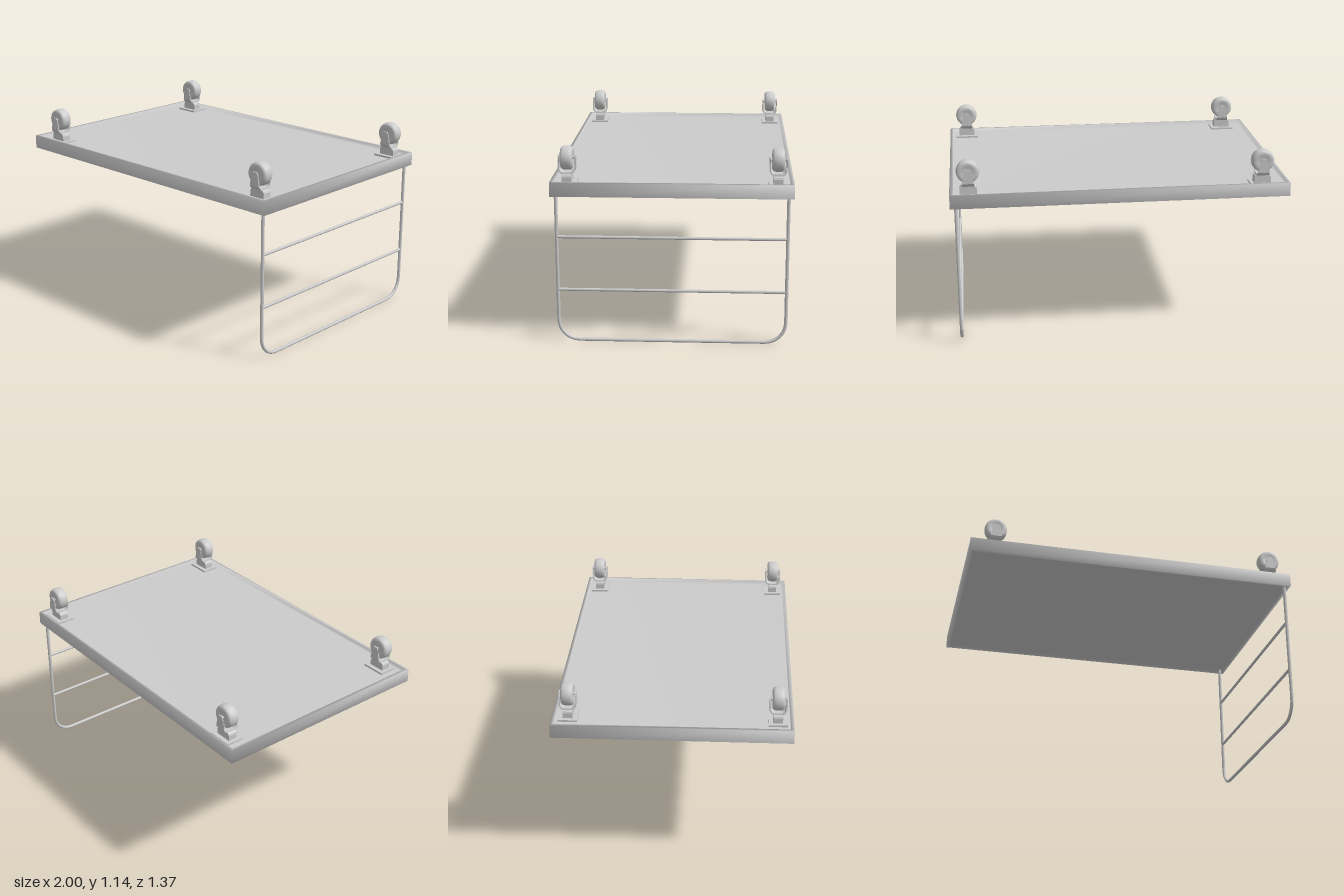
import * as THREE from 'three';

const material = new THREE.MeshStandardMaterial({ color: 0xcccccc, roughness: 0.7 });

function add(parent, name, geometry, x = 0, y = 0, z = 0) {
  const mesh = new THREE.Mesh(geometry, material);
  mesh.name = name;
  mesh.position.set(x, y, z);
  parent.add(mesh);
  return mesh;
}

// Rectangular tray: rings of four corners, [inset, height], closed at both ends
function trayGeometry(halfX, halfZ, rings) {
  const positions = [];
  const index = [];
  for (const [inset, y] of rings) {
    const x = halfX - inset, z = halfZ - inset;
    positions.push(-x, y, z, x, y, z, x, y, -z, -x, y, -z);
  }
  for (let r = 0; r < rings.length - 1; r++) {
    for (let i = 0; i < 4; i++) {
      const a = r * 4 + i, b = r * 4 + (i + 1) % 4;
      index.push(a, b, b + 4, a, b + 4, a + 4);
    }
  }
  const t = (rings.length - 1) * 4;
  index.push(0, 2, 1, 0, 3, 2, t, t + 1, t + 2, t, t + 2, t + 3);
  const geometry = new THREE.BufferGeometry();
  geometry.setAttribute('position', new THREE.Float32BufferAttribute(positions, 3));
  geometry.setIndex(index);
  geometry.computeVertexNormals();
  return geometry;
}

// U-shaped caster fork: extruded along x, then tapered towards the prong tips
function forkGeometry() {
  const outer = [[0.05, 0.155], [0.05, 0.14], [0.05, 0.075], [0.043, 0.063], [0.03, 0.053]];
  const inner = [[0.022, 0.061], [0.036, 0.069], [0.042, 0.08], [0.042, 0.14], [0.042, 0.155]];
  const half = [...inner, ...outer].map(([z, y]) => new THREE.Vector2(z, y));
  const mirrored = half.map((p) => new THREE.Vector2(-p.x, p.y)).reverse();
  const geometry = new THREE.ExtrudeGeometry(new THREE.Shape([...half, ...mirrored]), { depth: 2, bevelEnabled: false });
  geometry.translate(0, 0, -1).rotateY(Math.PI / 2);
  const p = geometry.attributes.position;
  for (let i = 0; i < p.count; i++) {
    const y = p.getY(i);
    const w = y > 0.15 ? 0.013 : THREE.MathUtils.mapLinear(y, 0.053, 0.14, 0.038, 0.022);
    p.setX(i, p.getX(i) * w);
  }
  geometry.computeVertexNormals();
  return geometry;
}

// Shaped block between mounting plate and fork
function baseGeometry() {
  const side = [[0.05, 0], [0.05, 0.036], [0.046, 0.046], [0.036, 0.054], [0.036, 0.062]];
  const points = [...side, ...side.map(([x, y]) => [-x, y]).reverse()].map(([x, y]) => new THREE.Vector2(x, y));
  return new THREE.ExtrudeGeometry(new THREE.Shape(points), { depth: 0.055, bevelEnabled: false }).translate(0, 0, -0.0275);
}

// Wheel with rounded tread and a slightly dished hub
function wheelGeometry() {
  const profile = [[0, -0.03], [0.03, -0.03], [0.036, -0.035], [0.052, -0.035], [0.061, -0.031], [0.066, -0.022], [0.068, -0.008]];
  const points = [...profile, ...profile.map(([r, y]) => [r, -y]).reverse()].map(([r, y]) => new THREE.Vector2(r, y));
  return new THREE.LatheGeometry(points, 28).rotateX(Math.PI / 2);
}

export function createModel() {
  const model = new THREE.Group();
  model.name = 'platformCart';

  // Platform with a raised rim above and below the panel
  add(model, 'platform', trayGeometry(1, 0.685, [
    [0.02, 0.892], [0.02, 0.877], [0, 0.877], [0, 0.958], [0.02, 0.958], [0.02, 0.933],
  ]));

  // Casters
  const fork = forkGeometry(), base = baseGeometry(), wheel = wheelGeometry();
  const plate = new THREE.BoxGeometry(0.145, 0.012, 0.11);
  const axle = new THREE.CylinderGeometry(0.009, 0.009, 0.1, 12).rotateX(Math.PI / 2);
  for (const x of [-0.845, 0.89]) {
    for (const z of [-0.595, 0.595]) {
      const caster = new THREE.Group();
      caster.name = 'caster';
      caster.position.set(x, 0.938, z);
      add(caster, 'casterPlate', plate);
      add(caster, 'casterBase', base);
      add(caster, 'casterFork', fork);
      add(caster, 'casterWheel', wheel, 0, 0.139, 0);
      add(caster, 'casterAxle', axle, 0, 0.139, 0);
      model.add(caster);
    }
  }

  // Push handle: bent tube with rounded corners
  const handle = new THREE.Group();
  handle.name = 'pushHandle';
  const hx = 0.966, hz = 0.655, top = 0.9, low = 0.011, r = 0.12;
  const v = (y, z) => new THREE.Vector3(hx, y, z);
  const path = [v(top, hz)];
  for (const side of [1, -1]) {
    for (let i = 0; i <= 6; i++) {
      const a = (side > 0 ? i : 6 - i) / 6 * Math.PI / 2;
      path.push(v(low + r - r * Math.sin(a), side * (hz - r + r * Math.cos(a))));
    }
  }
  path.push(v(top, -hz));
  const curve = new THREE.CurvePath();
  for (let i = 0; i < path.length - 1; i++) curve.add(new THREE.LineCurve3(path[i], path[i + 1]));
  add(handle, 'handleTube', new THREE.TubeGeometry(curve, 240, 0.01, 10));

  // Cross bars
  const bar = new THREE.CylinderGeometry(0.009, 0.009, hz * 2, 10).rotateX(Math.PI / 2);
  for (const y of [0.317, 0.633]) add(handle, 'crossBar', bar, hx, y, 0);
  model.add(handle);

  return model;
}
